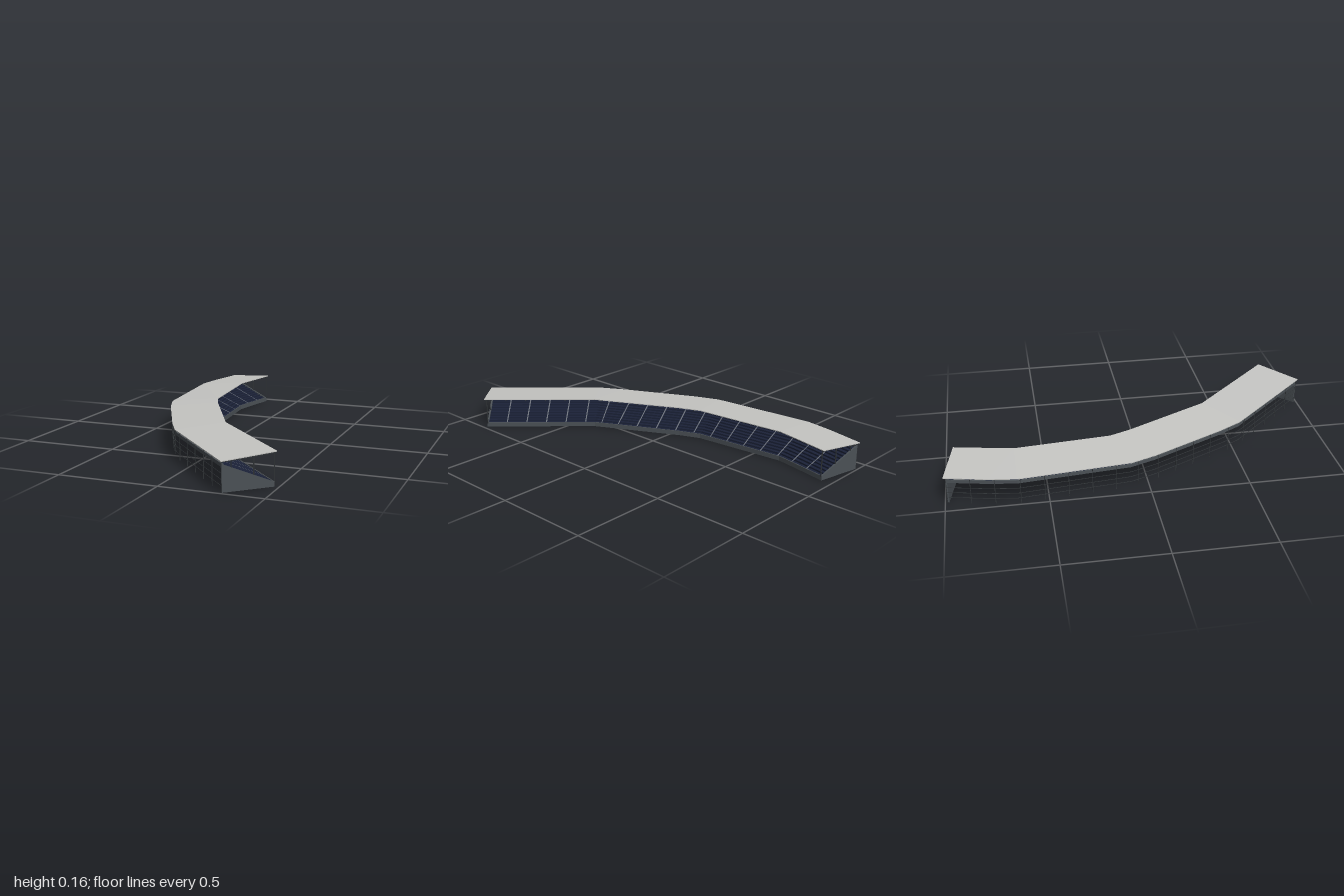
import * as THREE from 'three';

const mat = (name, color, side = THREE.FrontSide) => {
  const m = new THREE.MeshStandardMaterial({ color, side });
  m.name = name;
  return m;
};

export function createModel() {
  const roofGrey = mat('roofGrey', 0xc6c6c3);
  const concrete = mat('concrete', 0x4b5156, THREE.DoubleSide);
  const navy = mat('seatNavy', 0x1b2238, THREE.DoubleSide);
  const steel = mat('steel', 0x33373a);
  const aisleGrey = mat('aisleGrey', 0x6a6f78, THREE.DoubleSide);

  const group = new THREE.Group();
  const add = (name, geometry, material, parent = group) => {
    const mesh = new THREE.Mesh(geometry, material);
    mesh.name = name;
    parent.add(mesh);
    return mesh;
  };

  // Plan of the bend: paired rear and front corners [rearX, rearZ, frontX, frontZ]
  const plan = [
    [-0.43, -1.0, -0.18, -0.95], [-0.475, -0.79, -0.219, -0.76],
    [-0.495, -0.65, -0.24, -0.65], [-0.44, -0.09, -0.195, -0.16],
    [-0.39, 0.04, -0.15, -0.05], [-0.2, 0.42, 0.04, 0.32],
    [-0.13, 0.54, 0.07, 0.38], [0.3, 1.0, 0.49, 0.82],
  ];
  // Distance along the centre line of each plan corner, scaled to 0..1
  const mids = plan.map(([a, b, c, d]) => new THREE.Vector2((a + c) / 2, (b + d) / 2));
  const knots = [0];
  for (let i = 1; i < mids.length; i++) knots.push(knots[i - 1] + mids[i].distanceTo(mids[i - 1]));
  const total = knots[knots.length - 1];
  knots.forEach((k, i) => { knots[i] = k / total; });

  // Point at t along the bend, u from rear (0) to front (1), height y
  const at = (t, u, y) => {
    let i = 0;
    while (i < knots.length - 2 && t > knots[i + 1]) i++;
    const f = (t - knots[i]) / (knots[i + 1] - knots[i]);
    const p = plan[i].map((v, k) => THREE.MathUtils.lerp(v, plan[i + 1][k], f));
    return new THREE.Vector3(p[0] + (p[2] - p[0]) * u, y, p[1] + (p[3] - p[1]) * u);
  };
  const inset = (u) => 0.03 + 0.94 * u; // the stand sits just inside the roof outline

  // Sweep a clockwise (u, y) profile along the bend; closed convex ones get end caps
  const sweep = (profile, ts, closed) => {
    const pos = [];
    const tri = (...pts) => pts.forEach((p) => pos.push(p.x, p.y, p.z));
    const rings = ts.map((t) => profile.map(([u, y]) => at(t, u, y)));
    const n = profile.length;
    for (let s = 0; s < rings.length - 1; s++) {
      for (let i = 0; i < (closed ? n : n - 1); i++) {
        const j = (i + 1) % n;
        const a = rings[s][i], b = rings[s][j], c = rings[s + 1][j], d = rings[s + 1][i];
        tri(a, d, c);
        tri(a, c, b);
      }
    }
    if (closed) {
      const first = rings[0], last = rings[rings.length - 1];
      for (let i = 1; i < n - 1; i++) {
        tri(first[0], first[i], first[i + 1]);
        tri(last[0], last[i + 1], last[i]);
      }
    }
    const g = new THREE.BufferGeometry();
    g.setAttribute('position', new THREE.Float32BufferAttribute(pos, 3));
    g.computeVertexNormals();
    return g;
  };
  const band = (u0, u1, y0, y1) => [[u0, y0], [u0, y1], [u1, y1], [u1, y0]];

  // Square bar between two points
  const bar = (name, a, b, w, h, material, parent) => {
    const m = add(name, new THREE.BoxGeometry(w, h, a.distanceTo(b)), material, parent);
    m.position.copy(a).add(b).multiplyScalar(0.5);
    m.lookAt(b);
    return m;
  };

  // Roof slab rising towards the front
  const roofY = (u) => 0.139 + 0.02 * u;
  add('roof', sweep([[0, roofY(0)], [0, roofY(0) + 0.004], [1, roofY(1) + 0.004], [1, roofY(1)]], knots, true), roofGrey);

  // Stand body
  const t0 = 0.004, t1 = 0.996;
  const standTs = [t0, ...knots.slice(1, -1), t1];
  const rakeY = (u) => 0.127 - 0.105 * u;
  add('rakeUnderside', sweep([[inset(1), 0.006], [inset(0), 0.113]], standTs, false), concrete);
  add('frontWall', sweep(band(inset(0.98), inset(1), 0, 0.024), standTs, true), concrete);
  add('rearParapet', sweep(band(inset(0), inset(0.03), 0.112, 0.128), standTs, true), concrete);
  const endProfile = [[inset(0), 0], [inset(0), 0.127], [inset(1), 0.022], [inset(1), 0]];
  add('endWallBack', sweep(endProfile, [t0, t0 + 0.004], true), concrete);
  add('endWallFront', sweep(endProfile, [t1 - 0.004, t1], true), concrete);

  // Stepped seating rows
  const rows = 12;
  const steps = [];
  for (let i = 0; i < rows; i++) {
    const u0 = 0.03 + 0.95 * (i / rows), u1 = 0.03 + 0.95 * ((i + 1) / rows);
    const y = rakeY(u1) - 0.002;
    steps.push([inset(u0), y], [inset(u1), y]);
  }
  add('seatingRows', sweep(steps, standTs, false), navy);

  // Bays: aisles, roof beams and rear posts share the same spacing
  const bays = 19;
  const aisles = new THREE.Group(), beams = new THREE.Group(), posts = new THREE.Group();
  aisles.name = 'aisles'; beams.name = 'roofBeams'; posts.name = 'rearPosts';
  group.add(aisles, beams, posts);
  for (let i = 0; i <= bays; i++) {
    const t = THREE.MathUtils.lerp(0.005, 0.995, i / bays);
    if (i > 0 && i < bays) {
      const ramp = [[inset(0.04), rakeY(0.04) + 0.0005], [inset(0.98), rakeY(0.98) + 0.0005]];
      add('aisle', sweep(ramp, [t - 0.0015, t + 0.0015], false), aisleGrey, aisles);
    }
    bar('roofBeam', at(t, 0.02, roofY(0.02) - 0.003), at(t, 0.98, roofY(0.98) - 0.003), 0.005, 0.007, steel, beams);
    bar('rearPost', at(t, 0.025, 0), at(t, 0.025, 0.139), 0.003, 0.003, steel, posts);
  }

  // Rear rails following the bend
  const rails = new THREE.Group();
  rails.name = 'rearRails';
  group.add(rails);
  for (const y of [0.03, 0.058, 0.086]) {
    add('rearRail', sweep(band(0.02, 0.028, y - 0.001, y + 0.001), standTs, true), steel, rails);
  }

  // Columns carrying the roof at both ends
  const columns = new THREE.Group();
  columns.name = 'endColumns';
  group.add(columns);
  for (const t of [0.006, 0.994]) {
    for (const u of [0.2, 0.6, 0.975]) {
      bar('endColumn', at(t, u, rakeY(u) - 0.005), at(t, u, roofY(u)), 0.004, 0.004, steel, columns);
    }
  }
  return group;
}
